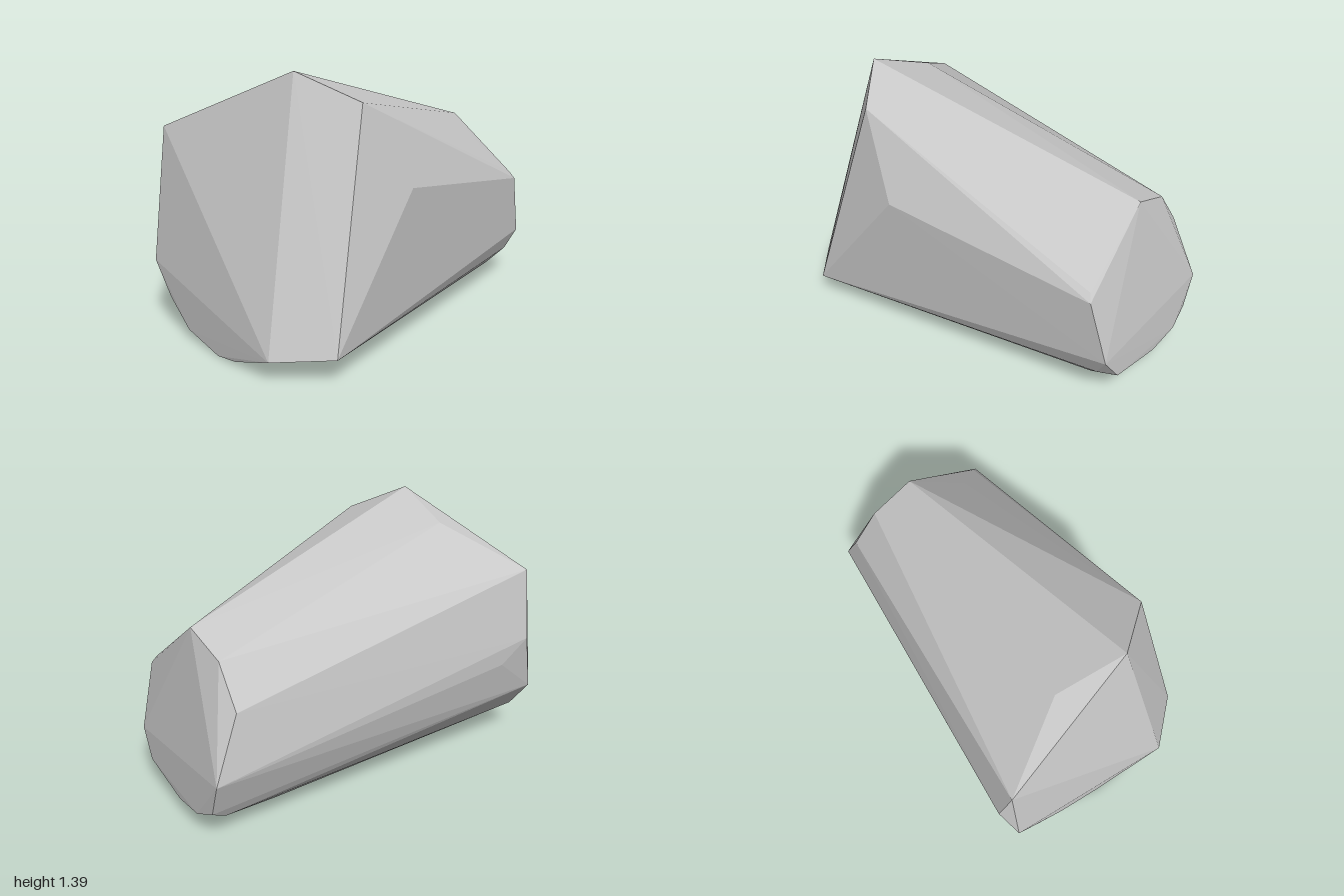
import * as THREE from 'three';
import { ConvexGeometry } from 'three/addons/geometries/ConvexGeometry.js';

// Corners of the faceted boulder, grouped by region: [x, y, z]
const broadEnd = [
  [-0.66, 1.39, 0.21], [-0.46, 1.25, 0.46], [-0.62, 1.265, -0.15],
  [-0.89, 1.06, -0.56], [-0.87, 0.69, -0.625], [-0.71, 0.565, -0.612],
  [-0.98, 0.355, -0.57], [-0.22, 0.82, 0.56], [-0.78, 0.13, 0.625], [-1, 0.115, 0.4],
];
const broadEndBase = [
  [-0.98, 0.185, -0.44], [-0.985, 0.055, -0.275],
  [-0.99, 0, -0.015], [-0.99, 0.02, 0.13],
];
const narrowEnd = [
  [0.86, 0.97, -0.09], [0.84, 0.88, -0.335], [0.84, 0.68, -0.49],
  [0.98, 0.35, -0.53], [0.98, 0.17, -0.465], [1, 0.11, -0.335],
  [1, 0.085, -0.135], [1, 0.145, 0.205], [0.99, 0.285, 0.312],
  [0.9, 0.63, 0.345], [0.88, 0.67, 0.32], [0.76, 0.825, 0.19], [0.92, 0.175, 0.28],
];
const narrowEndBase = [
  [0.87, 0.035, 0.07], [0.87, 0.035, -0.14], [0.91, 0.07, -0.33], [0.9, 0.12, -0.44],
  [0.84, 0.075, 0.2], [0.58, 0.012, -0.02], [0.58, 0.014, -0.15], [0.58, 0.06, -0.36],
];

export function createModel() {
  const group = new THREE.Group();
  group.name = 'boulder';

  const stone = new THREE.MeshStandardMaterial({ color: 0xc7c7c7 });
  stone.name = 'light grey stone';

  // Convex hull gives flat, hard-edged facets
  const corners = [...broadEnd, ...broadEndBase, ...narrowEnd, ...narrowEndBase]
    .map((p) => new THREE.Vector3(...p));
  const rock = new THREE.Mesh(new ConvexGeometry(corners), stone);
  rock.name = 'rock';
  group.add(rock);
  return group;
}
